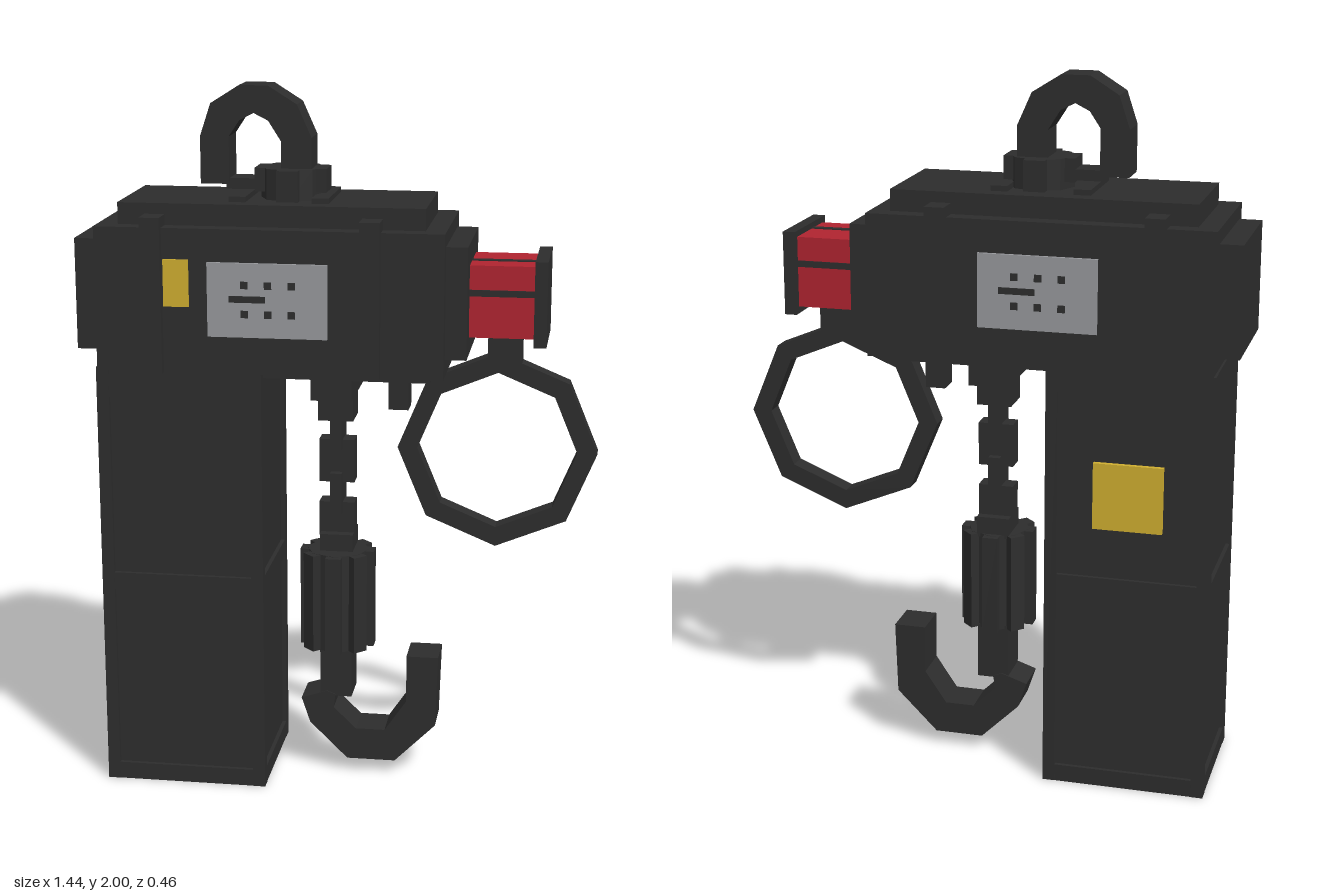
import * as THREE from 'three';

const mat = (name, color) => {
  const m = new THREE.MeshStandardMaterial({ color });
  m.name = name;
  return m;
};

export function createModel() {
  const root = new THREE.Group();
  root.name = 'chainHoist';
  const black = mat('black', 0x2d2d2d);
  const red = mat('red', 0xb02430);
  const grey = mat('grey', 0x97989c);
  const yellow = mat('yellow', 0xcfae30);

  const add = (name, geo, material, parent = root) => {
    const m = new THREE.Mesh(geo, material);
    m.name = name;
    parent.add(m);
    return m;
  };
  // Box given by its minimum and maximum on each axis
  const box = (name, x0, x1, y0, y1, z0, z1, material = black, parent = root) => {
    const g = new THREE.BoxGeometry(x1 - x0, y1 - y0, z1 - z0);
    g.translate((x0 + x1) / 2, (y0 + y1) / 2, (z0 + z1) / 2);
    return add(name, g, material, parent);
  };
  // Flat outline in the xy plane, thickened evenly about z = 0
  const plate = (name, pts, half, hole) => {
    const s = new THREE.Shape(pts.map(p => new THREE.Vector2(...p)));
    if (hole) s.holes.push(new THREE.Path(hole.map(p => new THREE.Vector2(...p))));
    const g = new THREE.ExtrudeGeometry(s, { depth: 2 * half, bevelEnabled: false });
    g.translate(0, 0, -half);
    return add(name, g, black);
  };
  const group = name => {
    const g = new THREE.Group();
    g.name = name;
    root.add(g);
    return g;
  };

  // Chain container: recessed core with posts and rails
  const bag = group('chainContainer');
  box('core', -0.653, -0.212, 0.01, 1.23, -0.188, 0.188, black, bag);
  for (const x of [-0.665, -0.235])
    for (const z of [-0.2, 0.165])
      box('cornerPost', x, x + 0.035, 0, 1.235, z, z + 0.035, black, bag);
  for (const [a, b] of [[0, 0.05], [0.585, 0.635], [1.15, 1.235]])
    box('rail', -0.664, -0.201, a, b, -0.199, 0.199, black, bag);
  box('containerLabel', -0.53, -0.335, 0.78, 0.97, -0.202, -0.187, yellow, bag);

  // Motor housing
  const body = group('housing');
  box('mainBody', -0.658, 0.303, 1.23, 1.63, -0.21, 0.21, black, body);
  box('endCaps', -0.722, 0.362, 1.28, 1.59, -0.172, 0.172, black, body);
  box('topPlate', -0.6, 0.247, 1.62, 1.69, -0.163, 0.163, black, body);
  box('bottomPlate', -0.2, 0.263, 1.21, 1.24, -0.163, 0.163, black, body);
  for (const x of [-0.525, 0.075])
    box('strap', x, x + 0.056, 1.23, 1.66, -0.232, 0.232, black, body);
  box('yellowLabel', -0.465, -0.395, 1.415, 1.545, 0.209, 0.218, yellow, body);

  // Control plates with dots and bar, on both faces
  for (const turn of [0, Math.PI]) {
    const p = group('facePlate');
    p.position.x = -0.178;
    p.rotation.y = turn;
    box('plate', -0.165, 0.165, 1.335, 1.54, 0.21, 0.219, grey, p);
    for (const x of [-0.062, 0.003, 0.068])
      for (const y of [1.4, 1.48])
        box('dot', x - 0.01, x + 0.01, y - 0.01, y + 0.01, 0.219, 0.222, black, p);
    box('bar', -0.105, -0.005, 1.432, 1.45, 0.219, 0.222, black, p);
  }

  // Red end drum with dark bands and flange
  const drum = group('endDrum');
  box('drum', 0.36, 0.545, 1.33, 1.53, -0.105, 0.105, red, drum);
  box('sideBand', 0.36, 0.545, 1.445, 1.463, -0.108, 0.108, black, drum);
  box('topBand', 0.36, 0.545, 1.5, 1.533, 0.012, 0.032, black, drum);
  box('flange', 0.54, 0.575, 1.31, 1.547, -0.125, 0.125, black, drum);
  box('ringPost', 0.41, 0.505, 1.225, 1.335, -0.03, 0.03, black, drum);

  // Octagonal ring
  const octagon = r => Array.from({ length: 8 }, (_, i) =>
    [0.44 + r * Math.cos(i * Math.PI / 4), 0.99 + r * Math.sin(i * Math.PI / 4)]);
  plate('ring', octagon(0.281), 0.028, octagon(0.225));

  // Top hook with its swivel nut
  plate('topHook', [[-0.39, 1.73], [-0.39, 1.86], [-0.36, 1.95], [-0.28, 2], [-0.2, 2],
    [-0.12, 1.95], [-0.08, 1.86], [-0.08, 1.72], [-0.165, 1.72], [-0.165, 1.85],
    [-0.2, 1.905], [-0.24, 1.925], [-0.28, 1.905], [-0.31, 1.86], [-0.31, 1.73]], 0.052);
  const nut = group('swivelNut');
  const nutGeo = new THREE.CylinderGeometry(0.09, 0.09, 0.09, 8).toNonIndexed();
  nutGeo.computeVertexNormals();
  nutGeo.translate(-0.14, 1.73, 0);
  add('nutCore', nutGeo, black, nut);
  box('nutCross', -0.17, -0.11, 1.69, 1.775, -0.105, 0.105, black, nut);
  box('nutCross', -0.24, -0.04, 1.71, 1.775, -0.045, 0.045, black, nut);
  box('latch', -0.32, -0.2, 1.715, 1.745, -0.04, 0.04, black, nut);
  for (const x of [-0.3, -0.07])
    box('footBar', x, x + 0.047, 1.68, 1.705, -0.117, 0.117, black, nut);

  // Chain guide and limit stop below the housing
  box('chainGuide', -0.075, 0.04, 1.14, 1.215, -0.12, 0.12);
  box('guideNeck', -0.065, 0.035, 1.065, 1.15, -0.05, 0.05);
  box('limitStop', 0.133, 0.19, 1.1, 1.215, -0.035, 0.035);

  // Chain links, alternately turned
  const chain = group('chain');
  for (const [a, b] of [[0.88, 1.005], [0.72, 0.82]])
    box('wideLink', -0.065, 0.036, a, b, -0.028, 0.028, black, chain);
  for (const [a, b] of [[0.98, 1.08], [0.79, 0.91]])
    box('crossLink', -0.031, 0.002, a, b, -0.05, 0.05, black, chain);

  // Ribbed hook block
  const block = group('hookBlock');
  block.position.set(-0.012, 0.535, 0.02);
  const core = new THREE.CylinderGeometry(0.09, 0.09, 0.29, 8).toNonIndexed();
  core.computeVertexNormals();
  add('blockCore', core, black, block);
  for (let i = 0; i < 4; i++)
    add('rib', new THREE.BoxGeometry(0.213, 0.288, 0.045), black, block).rotation.y = i * Math.PI / 4;
  box('blockCollar', -0.06, 0.035, 0.67, 0.73, -0.055, 0.055);
  box('hookStem', -0.06, 0.032, 0.235, 0.4, -0.055, 0.055);

  // Load hook
  plate('loadHook', [[-0.04, 0.25], [-0.115, 0.225], [-0.09, 0.15], [0.02, 0.042],
    [0.16, 0.042], [0.278, 0.16], [0.285, 0.37], [0.193, 0.37], [0.193, 0.23],
    [0.13, 0.137], [0.045, 0.137], [-0.02, 0.2], [-0.015, 0.24]], 0.058);

  return root;
}
